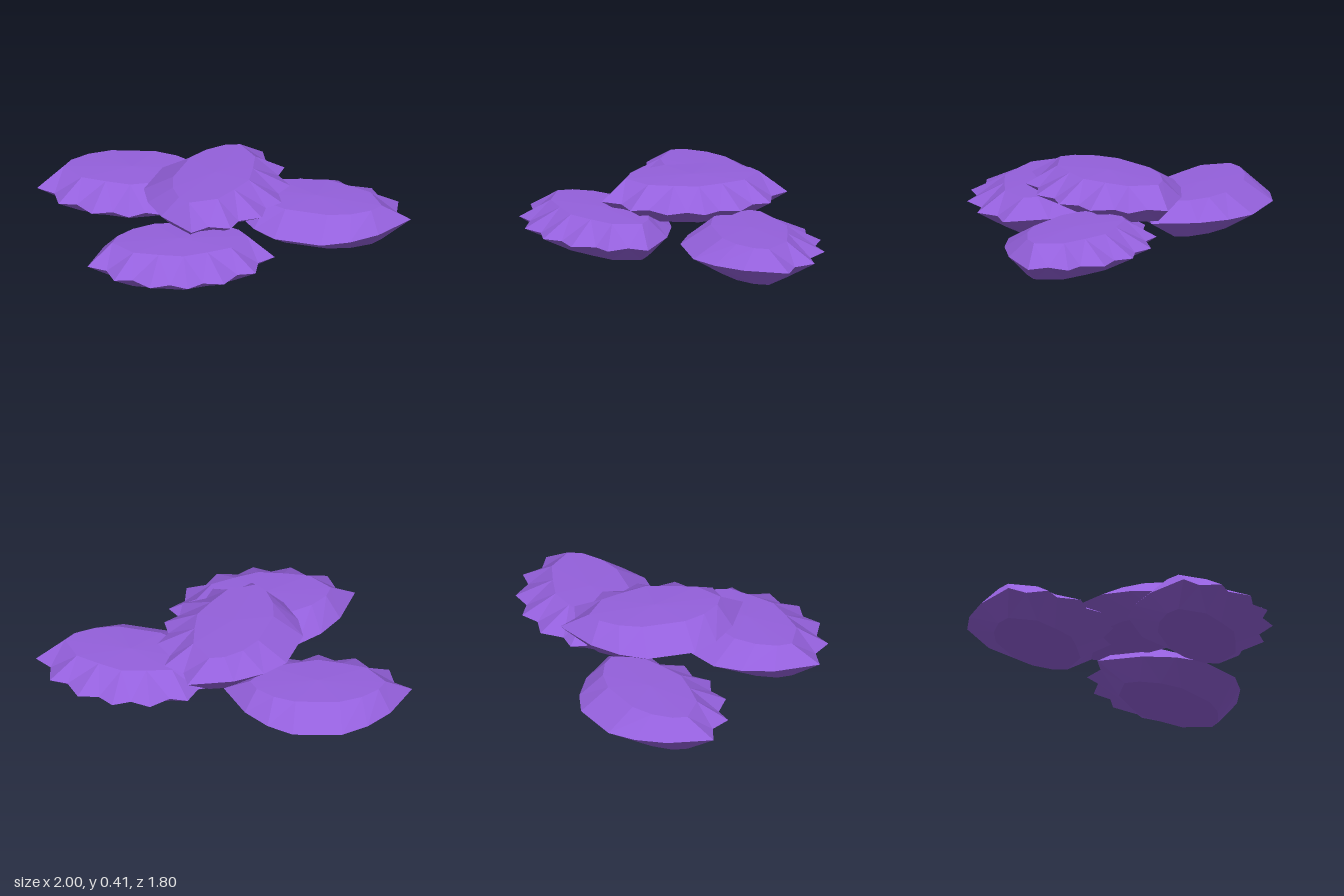
import * as THREE from 'three';

// Half of the pad outline, [x, z, inset x, inset z]; notches between lobes have no inset.
const lobes = [
  [-0.556, 0, -0.40, -0.08], [-0.45, 0.065],
  [-0.42, 0.195, -0.29, 0.06], [-0.312, 0.2],
  [-0.22, 0.312, -0.145, 0.105], [-0.098, 0.287],
];
const arc = [
  [-0.145, -0.472, -0.13, -0.29],
  [-0.295, -0.385, -0.26, -0.24],
  [-0.43, -0.245, -0.36, -0.16],
];
const mirror = (list) => list.map((p) => p.map((v, i) => (i % 2 ? v : -v))).reverse();

// Flat faceted pad: a scalloped rim bevelled to a smaller face above and below.
function padGeometry() {
  const outline = [...lobes, [0, 0.348, 0, 0.14], ...mirror(lobes), ...mirror(arc), ...arc];
  const rimY = 0.12;
  const positions = [];
  const addSide = (faceY, centreY, flip) => {
    const tri = (a, b, c) => positions.push(...a, ...(flip ? [...c, ...b] : [...b, ...c]));
    const rim = (p) => [p[0], rimY, p[1]];
    const inner = (p) => [p[2], faceY, p[3]];
    const n = outline.length;
    for (let i = 0; i < n; i++) {
      const p = outline[i];
      if (p.length < 4) continue;
      let q = outline[(i + 1) % n];
      let edge = rim(p);
      if (q.length < 4) {
        // notch between two lobes
        tri(rim(p), rim(q), inner(p));
        edge = rim(q);
        q = outline[(i + 2) % n];
      }
      tri(edge, rim(q), inner(q));
      tri(edge, inner(q), inner(p));
      tri(inner(p), inner(q), [0, centreY, -0.08]);
    }
  };
  addSide(0.23, 0.238, false);
  addSide(0.007, 0, true);
  const geometry = new THREE.BufferGeometry();
  geometry.setAttribute('position', new THREE.Float32BufferAttribute(positions, 3));
  geometry.computeVertexNormals();
  return geometry;
}

export function createModel() {
  const group = new THREE.Group();
  group.name = 'padCluster';
  const purple = new THREE.MeshStandardMaterial({ color: 0x9460dc, flatShading: true });
  purple.name = 'purple';
  const geometry = padGeometry();

  // Three pads on the ground and one resting on top: [name, x, y, z, turn in degrees]
  const pads = [
    ['backRightPad', -0.459, 0, -0.407, 20.3],
    ['frontRightPad', -0.455, 0, 0.55, 11.4],
    ['leftPad', 0.542, 0, 0.135, 214.5],
    ['topPad', -0.025, 0.167, 0.095, -50.1],
  ];
  for (const [name, x, y, z, turn] of pads) {
    const pad = new THREE.Mesh(geometry, purple);
    pad.name = name;
    pad.position.set(x, y, z);
    pad.rotation.y = -THREE.MathUtils.degToRad(turn);
    group.add(pad);
  }
  return group;
}
